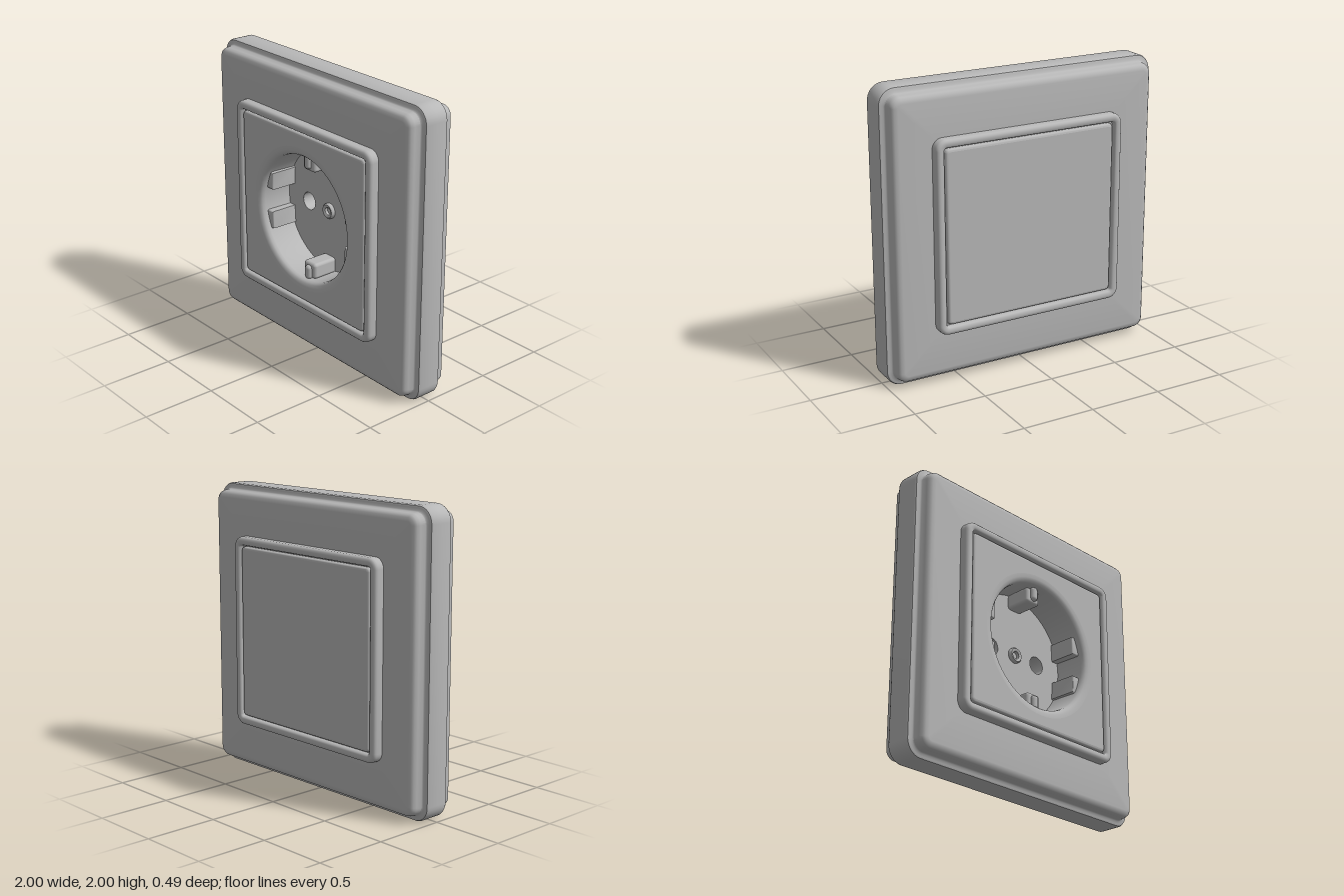
import * as THREE from 'three';
import { toCreasedNormals } from 'three/addons/utils/BufferGeometryUtils.js';
import { RoundedBoxGeometry } from 'three/addons/geometries/RoundedBoxGeometry.js';

const plastic = new THREE.MeshStandardMaterial({ color: 0xb8b8b8, side: THREE.DoubleSide });
plastic.name = 'grey plastic';

const FACE_Z = 0.236;  // height of the centre panels
const FLOOR_Z = -0.01; // bottom of the socket cup

function add(parent, name, geometry, x = 0, y = 0, z = 0) {
  const mesh = new THREE.Mesh(geometry, plastic);
  mesh.name = name;
  mesh.position.set(x, y, z);
  parent.add(mesh);
  return mesh;
}

// Outline of a rounded rectangle, counter-clockwise
function roundedRect(hw, hh, r, steps = 8) {
  const points = [];
  const corners = [[1, 1], [-1, 1], [-1, -1], [1, -1]];
  corners.forEach(([sx, sy], c) => {
    for (let i = 0; i <= steps; i++) {
      const a = (c + i / steps) * Math.PI / 2;
      points.push(new THREE.Vector2(sx * (hw - r) + r * Math.cos(a), sy * (hh - r) + r * Math.sin(a)));
    }
  });
  return points;
}

// Sweep an [inset, z] profile around a rounded rectangle
function moulding(hw, hh, radius, profile) {
  const positions = [], indices = [];
  let n = 0;
  for (const [inset, z] of profile) {
    const ring = roundedRect(hw - inset, hh - inset, Math.max(radius - inset * 0.9, 0.015));
    n = ring.length;
    for (const p of ring) positions.push(p.x, p.y, z);
  }
  for (let i = 0; i < profile.length - 1; i++) {
    for (let j = 0; j < n; j++) {
      const a = i * n + j, b = i * n + (j + 1) % n;
      indices.push(a, b, b + n, a, b + n, a + n);
    }
  }
  const g = new THREE.BufferGeometry();
  g.setAttribute('position', new THREE.Float32BufferAttribute(positions, 3));
  g.setIndex(indices);
  return toCreasedNormals(g, 0.7);
}

// Turn an [r, z] profile around the z axis
function turned(profile, segments = 64) {
  const g = new THREE.LatheGeometry(profile.map(([r, z]) => new THREE.Vector2(r, z)), segments);
  g.rotateX(Math.PI / 2);
  return toCreasedNormals(g, 0.7);
}

function circlePath(x, y, r) {
  return new THREE.Path().absarc(x, y, r, 0, Math.PI * 2, true);
}

// Raised frame, groove and panel edge, shared by front and back
function raisedCentre(parent, holeRadius) {
  add(parent, 'innerFrame', moulding(0.685, 0.657, 0.07, [
    [0, 0.17], [0, 0.222], [0.004, 0.234], [0.013, 0.243], [0.025, 0.245], [0.042, 0.244],
    [0.052, 0.238], [0.057, 0.225], [0.058, 0.205], [0.068, 0.205],
  ]));
  add(parent, 'panelEdge', moulding(0.62, 0.592, 0.03, [
    [0, 0.2], [0.001, 0.218], [0.005, 0.229], [0.012, 0.235], [0.02, FACE_Z],
  ]));
  const face = new THREE.Shape(roundedRect(0.6, 0.572, 0.015));
  if (holeRadius) face.holes.push(circlePath(0, -0.007, holeRadius));
  add(parent, 'panelFace', new THREE.ShapeGeometry(face, 32), 0, 0, FACE_Z);
}

// Recessed cup with contact holes, ribs, earth clips and a centre screw
function buildSocket() {
  const socket = new THREE.Group();
  socket.name = 'socket';

  add(socket, 'cupWall', turned([
    [0.5, FACE_Z], [0.475, 0.234], [0.455, 0.227], [0.443, 0.214], [0.438, 0.195], [0.432, FLOOR_Z],
  ]));

  const floor = new THREE.Shape().absarc(0, 0, 0.434, 0, Math.PI * 2);
  for (const x of [-0.215, 0.215]) {
    floor.holes.push(circlePath(x, 0, 0.062));
    add(socket, 'contactHole', turned([[0.062, 0], [0.062, -0.13], [0, -0.13]], 32), x, 0, FLOOR_Z);
  }
  add(socket, 'cupFloor', new THREE.ShapeGeometry(floor, 32), 0, 0, FLOOR_Z);

  // Centre screw with a dimple
  add(socket, 'centreScrew', turned([
    [0.054, 0], [0.053, 0.016], [0.046, 0.025], [0.036, 0.025], [0.027, 0.018], [0.024, 0], [0, 0],
  ], 32), 0, 0, FLOOR_Z);

  // Guide ribs, two on each side with a notch between
  for (const sx of [-1, 1]) {
    for (const sy of [-1, 1]) {
      const rib = new THREE.Shape([
        [0.382, 0.09], [0.44, 0.09], [0.428, 0.15], [0.405, 0.205], [0.376, 0.195],
      ].map(([x, y]) => new THREE.Vector2(sx * x, sy * y)));
      const g = new THREE.ExtrudeGeometry(rib, {
        depth: 0.18, bevelThickness: 0.012, bevelSize: 0.01, bevelSegments: 3,
      });
      add(socket, 'guideRib', toCreasedNormals(g, 0.7), 0, 0, FLOOR_Z);
    }
  }

  // Earth clips at top and bottom
  for (const s of [-1, 1]) {
    add(socket, 'clipHousing', new RoundedBoxGeometry(0.12, 0.11, 0.19, 4, 0.022), 0, s * 0.382, 0.075);
    add(socket, 'earthClip', new RoundedBoxGeometry(0.055, 0.1, 0.22, 4, 0.024), 0, s * 0.395, 0.085);
  }
  return socket;
}

export function createModel() {
  const model = new THREE.Group();
  model.name = 'wallSocket';

  // Outer plate: wide rim with a stepped, rounded tier on both sides
  const half = [
    [0, 0], [0, 0.073], [0.006, 0.085], [0.018, 0.09], [0.034, 0.092], [0.042, 0.1],
    [0.046, 0.138], [0.053, 0.16], [0.068, 0.174], [0.092, 0.178], [0.36, 0.178],
  ];
  const back = half.slice(1).reverse().map(([inset, z]) => [inset, -z]);
  add(model, 'outerPlate', moulding(1, 1, 0.11, [...back, ...half]), 0, 1, 0);

  const front = new THREE.Group();
  front.name = 'frontCentre';
  front.position.y = 1.007;
  raisedCentre(front, 0.5);
  model.add(front);

  const rear = new THREE.Group();
  rear.name = 'backCentre';
  rear.position.y = 1.007;
  rear.rotation.y = Math.PI;
  raisedCentre(rear, 0);
  model.add(rear);

  const socket = buildSocket();
  socket.position.y = 1;
  model.add(socket);
  return model;
}
